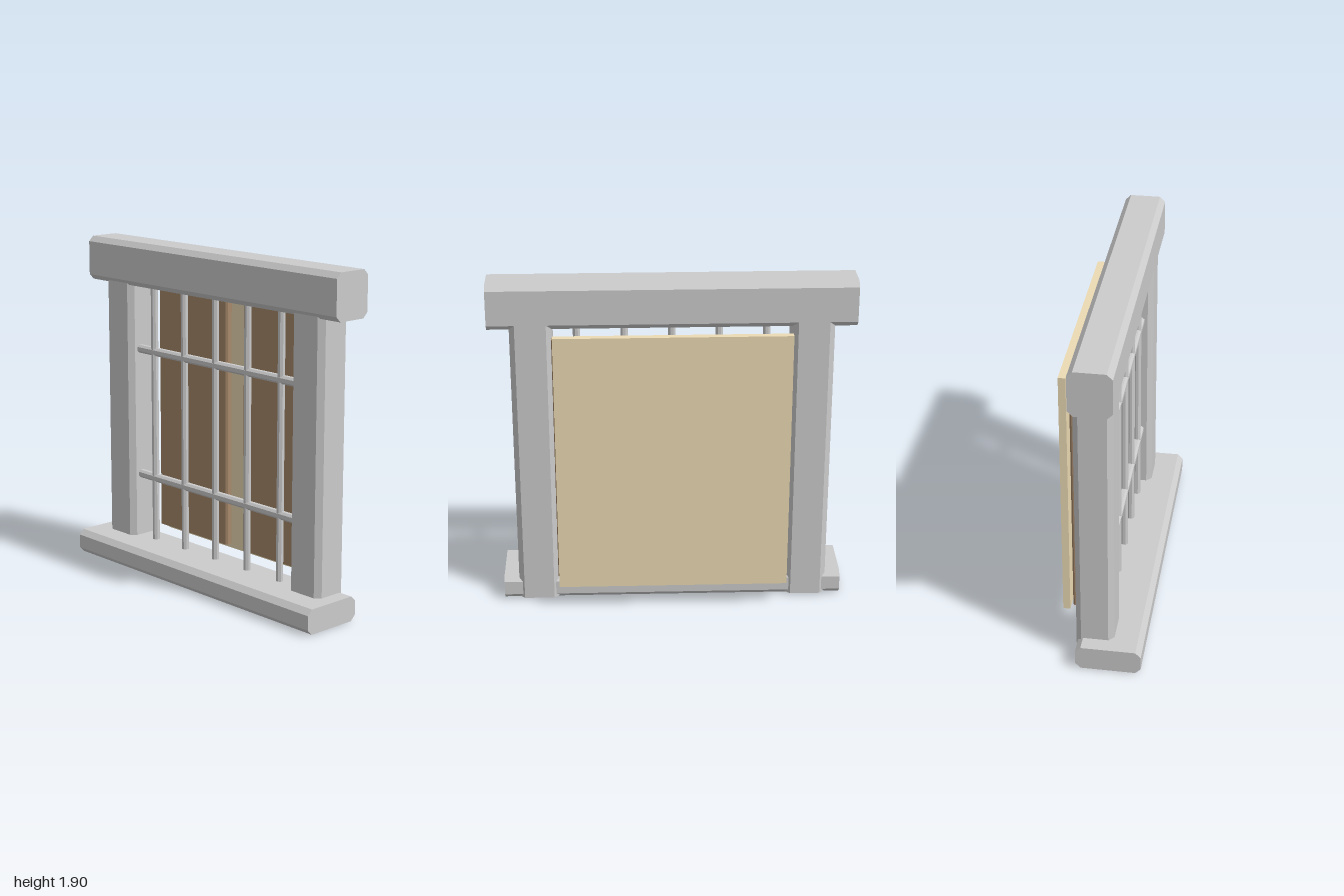
import * as THREE from 'three';

const material = (color) => new THREE.MeshStandardMaterial({ color, flatShading: true });

// Beam with chamfered long edges, running along 'x' or 'y', from its bounds [min, max]
function beam(name, axis, [x0, x1], [y0, y1], [z0, z1], c, mat) {
  const length = axis === 'x' ? x1 - x0 : y1 - y0;
  const w = (axis === 'x' ? z1 - z0 : x1 - x0) / 2;
  const h = (axis === 'x' ? y1 - y0 : z1 - z0) / 2;
  const section = new THREE.Shape([
    [w, -h + c], [w, h - c], [w - c, h], [-w + c, h],
    [-w, h - c], [-w, -h + c], [-w + c, -h], [w - c, -h],
  ].map(([a, b]) => new THREE.Vector2(a, b)));
  const geometry = new THREE.ExtrudeGeometry(section, { depth: length, bevelEnabled: false });
  geometry.translate(0, 0, -length / 2);
  if (axis === 'x') geometry.rotateY(Math.PI / 2);
  else geometry.rotateX(-Math.PI / 2);
  const mesh = new THREE.Mesh(geometry, mat);
  mesh.name = name;
  mesh.position.set((x0 + x1) / 2, (y0 + y1) / 2, (z0 + z1) / 2);
  return mesh;
}

export function createModel() {
  const model = new THREE.Group();
  model.name = 'barredWindow';
  const stone = material(0xcccccc);
  const wood = material(0xa88a6c);
  const cream = material(0xecdbb4);

  // Frame: lintel, sill and side posts
  model.add(beam('lintel', 'x', [-1, 1], [1.65, 1.905], [-0.13, 0.1], 0.03, stone));
  model.add(beam('sill', 'x', [-0.965, 0.965], [0, 0.14], [-0.12, 0.24], 0.03, stone));
  for (const [side, s] of [['left', 1], ['right', -1]]) {
    const span = (a, b) => (s > 0 ? [a, b] : [-b, -a]);
    model.add(beam(side + 'Post', 'y', span(0.65, 0.88), [0.01, 1.69], [-0.13, 0.08], 0.03, stone));
    // Shutter panels behind the bars
    model.add(beam(side + 'Shutter', 'y', span(0.065, 0.652), [0.175, 1.615], [-0.183, -0.136], 0.01, wood));
  }

  // Grille
  const grille = new THREE.Group();
  grille.name = 'grille';
  for (let i = -2; i <= 2; i++) {
    const x = i * 0.26;
    grille.add(beam('verticalBar', 'y', [x - 0.02, x + 0.02], [0.12, 1.68], [-0.01, 0.03], 0.012, stone));
  }
  for (const y of [0.517, 1.272]) {
    grille.add(beam('horizontalBar', 'x', [-0.655, 0.655], [y - 0.023, y + 0.023], [-0.015, 0.031], 0.012, stone));
  }
  model.add(grille);

  // Plain board behind the shutters
  const board = new THREE.Mesh(new THREE.BoxGeometry(1.29, 1.505, 0.04), cream);
  board.name = 'backBoard';
  board.position.set(0, 0.8925, -0.22);
  model.add(board);

  return model;
}
